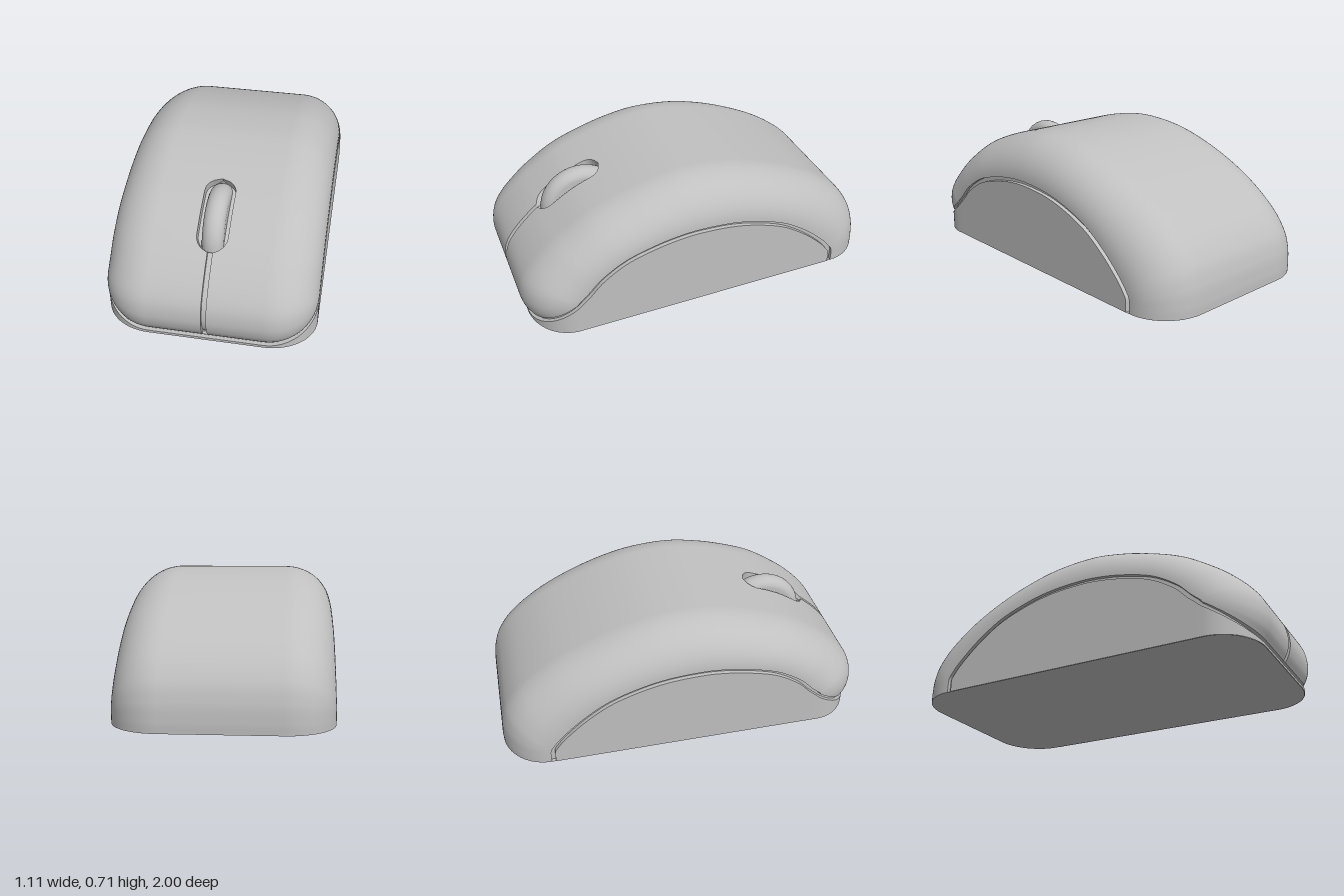
import * as THREE from 'three';

// Paired side-profile points: outer ridge (z, y) and flank edge (z, y)
const PAIRS = [
  [0.965, 0.04, 0.745, 0.185], [0.99, 0.09, 0.745, 0.187], [1, 0.155, 0.745, 0.189],
  [0.985, 0.235, 0.744, 0.191], [0.94, 0.31, 0.742, 0.194], [0.86, 0.395, 0.69, 0.24],
  [0.76, 0.475, 0.615, 0.315], [0.6, 0.575, 0.485, 0.395], [0.4, 0.65, 0.33, 0.443],
  [0.22, 0.695, 0.19, 0.468], [0.06, 0.713, 0.06, 0.475], [-0.15, 0.697, -0.12, 0.462],
  [-0.35, 0.645, -0.28, 0.425], [-0.55, 0.565, -0.44, 0.362], [-0.72, 0.475, -0.58, 0.268],
  [-0.87, 0.36, -0.69, 0.168], [-0.955, 0.25, -0.742, 0.105], [-0.99, 0.15, -0.758, 0.075],
  [-1, 0.06, -0.76, 0.04], [-1, 0, -0.76, 0],
];
const FLAT = 0.3, ROUND = 0.255, SUB = 16;

const curve = (k) => new THREE.CatmullRomCurve3(
  PAIRS.map((p) => new THREE.Vector3(0, p[k + 1], p[k])), false, 'catmullrom', 0.5);

// Surface through rows of [x, y, z]; side = -1 mirrors it across x
function grid(rows, side) {
  const n = rows[0].length, pos = [], index = [];
  for (const row of rows) for (const [x, y, z] of row) pos.push(x * side, y, z);
  for (let i = 0; i < rows.length - 1; i++) {
    for (let j = 0; j < n - 1; j++) {
      const a = i * n + j, b = a + 1, c = a + n, d = c + 1;
      if (side > 0) index.push(a, b, d, a, d, c);
      else index.push(a, d, b, a, c, d);
    }
  }
  const g = new THREE.BufferGeometry();
  g.setAttribute('position', new THREE.Float32BufferAttribute(pos, 3));
  g.setIndex(index);
  g.computeVertexNormals();
  return g;
}

// Half-width of the opening in the top: wheel slot, then the button split
function openingWidth(z, u) {
  const back = 0.44, front = 0.795, r = 0.07;
  let w = 0;
  if (z > back && z < front) {
    const e = Math.max(0, r - Math.min(z - back, front - z)) / r;
    w = 0.08 * Math.sqrt(1 - e * e);
  }
  return z > 0.75 || u < 4 ? Math.max(w, 0.013) : w;
}

export function createModel() {
  const model = new THREE.Group();
  const grey = new THREE.MeshStandardMaterial({ color: 0xc0c0c0, side: THREE.DoubleSide });
  grey.name = 'light grey plastic';
  const add = (name, geometry, parent = model) => {
    const mesh = new THREE.Mesh(geometry, grey);
    mesh.name = name;
    parent.add(mesh);
    return mesh;
  };

  // Stations along the profile
  const outer = curve(0), inner = curve(2), count = (PAIRS.length - 1) * SUB;
  const stations = [];
  for (let i = 0; i <= count; i++) {
    const O = outer.getPoint(i / count), I = inner.getPoint(i / count);
    const u = i / SUB;
    stations.push({ u, O, I, n: O.clone().sub(I).normalize(), w: openingWidth(O.z, u) });
  }

  // Top shell: flat across the middle, rounded down to the flanks
  const shellRows = stations.map(({ O, I, w }) => {
    const row = [[w, O.y, O.z], [(w + FLAT) / 2, O.y, O.z]];
    for (let j = 0; j <= 20; j++) {
      const a = (j / 20) * Math.PI / 2, c = Math.cos(a);
      row.push([FLAT + ROUND * Math.sin(a), I.y + (O.y - I.y) * c, I.z + (O.z - I.z) * c]);
    }
    return row;
  });

  // Recessed walls and floor of the wheel slot and button split
  const open = stations.filter((s) => s.O.z > 0.42);
  const sunk = ({ O, n, w }) => O.clone().addScaledVector(n, w > 0.02 ? -0.05 : -0.02);
  const wallRows = open.map((s) => {
    const b = sunk(s);
    return [[s.w, b.y, b.z], [s.w, s.O.y, s.O.z]];
  });
  const floorRows = open.map((s) => {
    const b = sunk(s);
    return [[0, b.y, b.z], [s.w, b.y, b.z]];
  });

  // Seam between shell and base: g drops below the shell edge, d goes inward
  function seam(g, d) {
    const pts = [[0, 0.04 - g * 1.1, 0.965 - d]];
    for (let j = 0; j <= 20; j++) {
      const a = (j / 20) * Math.PI / 2, c = Math.cos(a);
      pts.push([FLAT + (ROUND - d) * Math.sin(a), 0.185 - 0.145 * c - g * 1.1, 0.745 + (0.22 - d) * c]);
    }
    for (const { u, I, n } of stations) {
      if (u >= 4.5) pts.push([FLAT + ROUND - d, Math.max(0, I.y - n.y * g), I.z - n.z * g]);
    }
    return pts;
  }
  const curtain = (pts) => pts.map((p) => [p, [p[0], 0, p[2]]]);
  const between = (a, b) => a.map((p, i) => [p, b[i]]);
  const GAP = 0.022, DEEP = 0.02;

  for (const side of [1, -1]) {
    const half = new THREE.Group();
    half.name = side > 0 ? 'leftHalf' : 'rightHalf';
    model.add(half);
    add('topShell', grid(shellRows, side), half);
    add('slotWall', grid(wallRows, side), half);
    add('slotFloor', grid(floorRows, side), half);
    add('shellLip', grid(between(seam(0, 0), seam(0, DEEP)), side), half);
    add('seamFloor', grid(curtain(seam(-0.004, DEEP)), side), half);
    add('panelLip', grid(between(seam(GAP, DEEP), seam(GAP, -0.002)), side), half);
    add('sidePanel', grid(curtain(seam(GAP, -0.002)), side), half);
  }

  // Flat underside
  const foot = new THREE.Shape();
  foot.absellipse(FLAT, 0.745, ROUND, 0.22, 0, Math.PI / 2, false);
  foot.absellipse(-FLAT, 0.745, ROUND, 0.22, Math.PI / 2, Math.PI, false);
  foot.absellipse(-FLAT, -0.76, ROUND, 0.24, Math.PI, Math.PI * 1.5, false);
  foot.absellipse(FLAT, -0.76, ROUND, 0.24, Math.PI * 1.5, Math.PI * 2, false);
  add('underside', new THREE.ShapeGeometry(foot, 16).rotateX(Math.PI / 2));

  // Scroll wheel with rounded rim
  const rim = [new THREE.Vector2(0, -0.056)];
  for (let j = 0; j <= 12; j++) {
    const a = -Math.PI / 2 + (j / 12) * Math.PI;
    rim.push(new THREE.Vector2(0.177 + 0.05 * Math.cos(a), 0.056 * Math.sin(a)));
  }
  rim.push(new THREE.Vector2(0, 0.056));
  const wheel = add('scrollWheel', new THREE.LatheGeometry(rim, 40).rotateZ(Math.PI / 2));
  wheel.position.set(0, 0.413, 0.55);

  return model;
}
